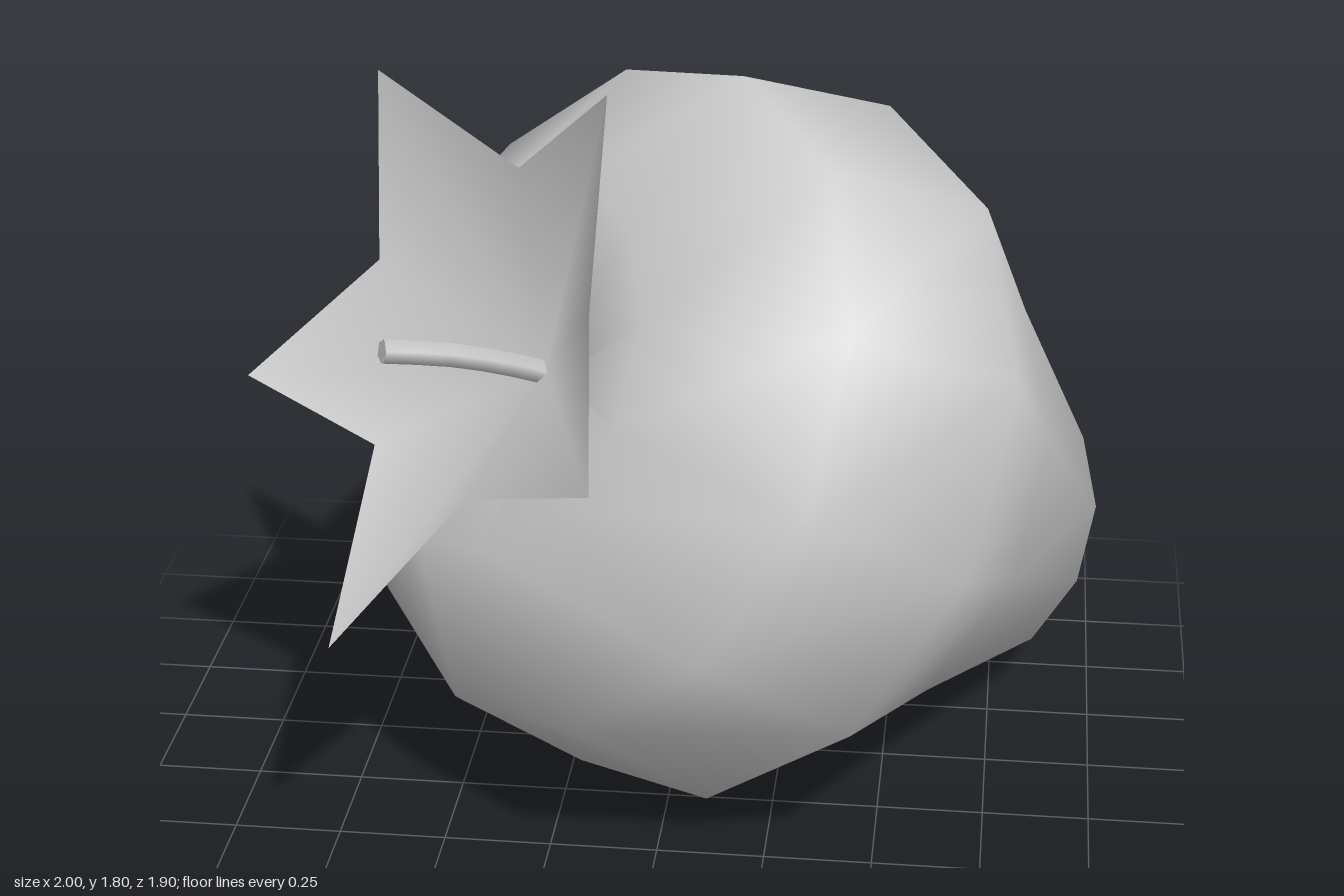
import * as THREE from 'three';

export function createModel() {
  const group = new THREE.Group();
  group.name = 'strawberry';
  const grey = new THREE.MeshStandardMaterial({ color: 0xcccccc, side: THREE.DoubleSide });
  grey.name = 'grey';

  const add = (geometry, name) => {
    const mesh = new THREE.Mesh(geometry, grey);
    mesh.name = name;
    group.add(mesh);
    return mesh;
  };

  // Fruit: twelve-sided profile from the blunt tip up to the dented leaf end
  const profile = [
    [0, -0.14], [0.373, 0], [0.659, 0.554], [0.873, 0.93],
    [0.793, 1.384], [0.45, 1.69], [0, 1.5],
  ].map(([r, y]) => new THREE.Vector2(r, y));
  const fruit = add(new THREE.LatheGeometry(profile, 12), 'fruit');

  // Lay the fruit's axis over, with the leaf end up and forward
  const up = new THREE.Vector3(-0.641, 0.499, 0.585).normalize();
  const side = new THREE.Vector3().crossVectors(up, new THREE.Vector3(0.77, 0.41, 0.495)).normalize();
  const out = new THREE.Vector3().crossVectors(side, up);
  fruit.quaternion.setFromRotationMatrix(new THREE.Matrix4().makeBasis(side, up, out));
  fruit.position.set(0.713, 0.32, -0.652);

  // Leaf crown: five-pointed star with a sunken middle, alternating tips and notches
  const star = [
    [-0.28, 1.1, 0.255],
    [-0.705, 1.69, -0.065], [-0.345, 1.55, 0.17],
    [-0.115, 1.80, 0.38], [-0.135, 1.365, 0.555],
    [-0.085, 1.12, 0.95], [-0.405, 0.94, 0.62],
    [-0.68, 0.66, 0.815], [-0.66, 0.935, 0.35],
    [-1.0, 1.0, 0.14], [-0.70, 1.26, 0.03],
  ];
  const faces = [];
  for (let i = 0; i < 10; i++) faces.push(0, 1 + ((i + 1) % 10), 1 + i);
  const crown = new THREE.BufferGeometry();
  crown.setAttribute('position', new THREE.Float32BufferAttribute(star.flat(), 3));
  crown.setIndex(faces);
  crown.computeVertexNormals();
  add(crown, 'leafCrown');

  // Stem: short, slightly bent tube rising from the dent, with a closed end
  const path = new THREE.CatmullRomCurve3([
    new THREE.Vector3(-0.29, 1.1, 0.27),
    new THREE.Vector3(-0.38, 1.15, 0.34),
    new THREE.Vector3(-0.48, 1.19, 0.405),
    new THREE.Vector3(-0.607, 1.222, 0.477),
  ]);
  add(new THREE.TubeGeometry(path, 5, 0.028, 5), 'stem');
  const cap = add(new THREE.CircleGeometry(0.028, 5), 'stemEnd');
  cap.position.copy(path.getPoint(1));
  cap.quaternion.setFromUnitVectors(new THREE.Vector3(0, 0, 1), path.getTangent(1));

  return group;
}
